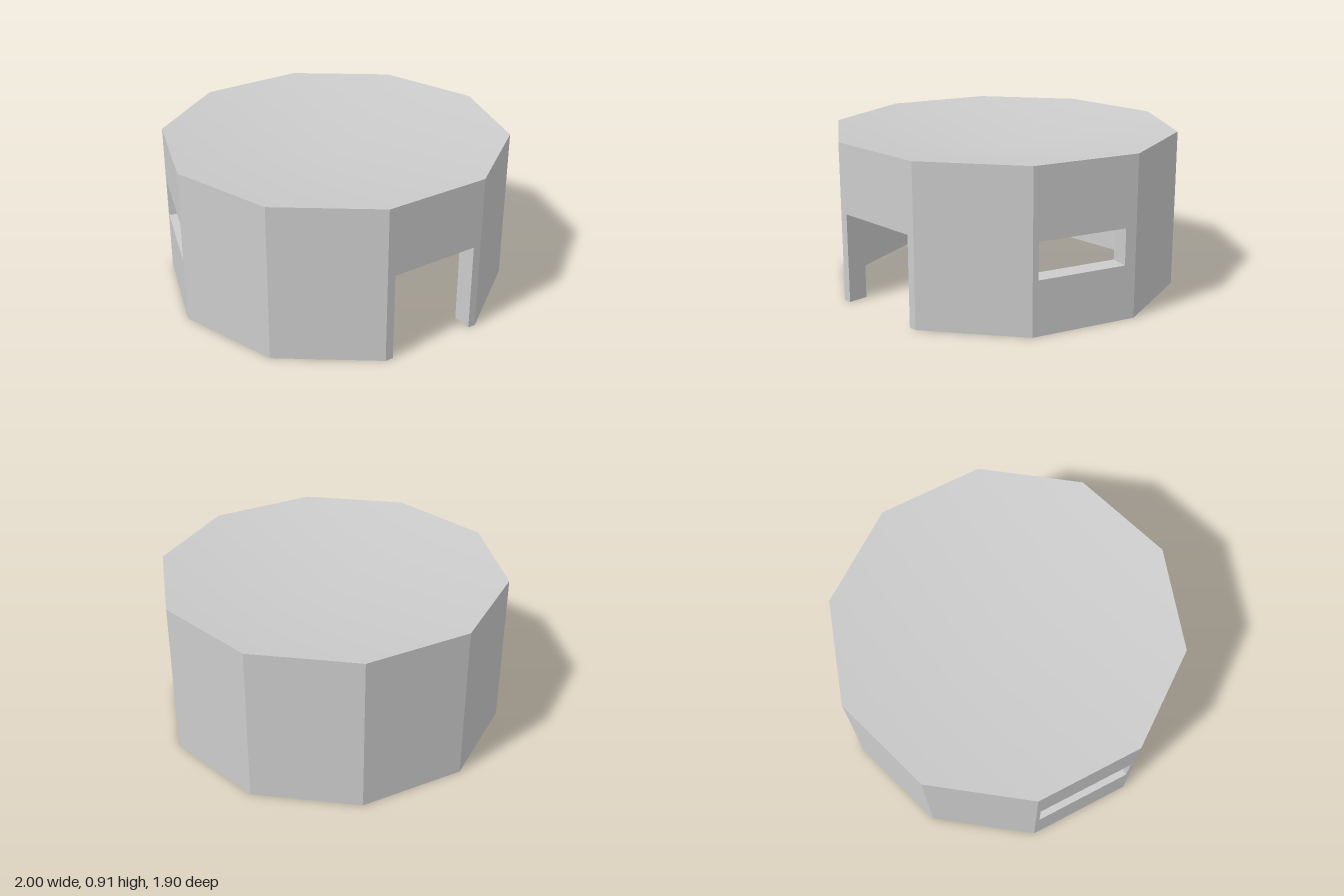
import * as THREE from 'three';
import { mergeVertices } from 'three/addons/utils/BufferGeometryUtils.js';

const SIDES = 10, RADIUS = 1, HEIGHT = 0.91, CEILING = 0.65, WALL = 0.12;
const ROOF_DIP = 0.13;
const ROOM_X = 0.01; // the room sits slightly off centre
const STEP = (Math.PI * 2) / SIDES;
const APOTHEM = RADIUS * Math.cos(STEP / 2);
const INNER_RADIUS = RADIUS * (1 - WALL / APOTHEM);
const OUTER_HALF = RADIUS * Math.sin(STEP / 2);
const INNER_HALF = INNER_RADIUS * Math.sin(STEP / 2);

// Openings by side number: [left, right, bottom, top] on the panel
const DOOR = { 1: [-0.262, 0.262, 0, 0.513] };
const WINDOWS = { 4: [-0.285, 0.285, 0.362, 0.592], 9: [-0.275, 0.244, 0.308, 0.514] };

const points = (list) => list.map(([x, y]) => new THREE.Vector2(x, y));

function panelShape(side) {
  const w = OUTER_HALF;
  const outline = [[-w, 0]];
  if (DOOR[side]) {
    const [l, r, b, t] = DOOR[side];
    outline.push([l, b], [l, t], [r, t], [r, b]);
  }
  outline.push([w, 0], [w, HEIGHT], [-w, HEIGHT]);
  const shape = new THREE.Shape(points(outline));
  if (WINDOWS[side]) {
    const [l, r, b, t] = WINDOWS[side];
    shape.holes.push(new THREE.Path(points([[l, b], [l, t], [r, t], [r, b]])));
  }
  return shape;
}

// Faces buried in the joints to the next panels and to the roof
function isJoint([a, b, c]) {
  const all = (test) => test(a) && test(b) && test(c);
  return all((v) => v.x > OUTER_HALF - 1e-4) || all((v) => v.x < 1e-4 - OUTER_HALF) ||
    all((v) => v.y > HEIGHT - 1e-4);
}

// Wall panel with mitred ends; its inner face stops at the ceiling
function panelGeometry(side, angle) {
  const depth = WALL - ROOM_X * Math.cos(angle);
  const middle = ROOM_X * Math.sin(angle);
  const solid = new THREE.ExtrudeGeometry(panelShape(side), { depth, bevelEnabled: false });
  const p = solid.attributes.position;
  const kept = [];
  for (let i = 0; i < p.count; i += 3) {
    const triangle = [0, 1, 2].map((k) => new THREE.Vector3().fromBufferAttribute(p, i + k));
    if (!isJoint(triangle)) kept.push(...triangle);
  }
  for (const v of kept) {
    if (v.z > depth / 2) continue;
    v.x = THREE.MathUtils.clamp(v.x, middle - INNER_HALF, middle + INNER_HALF);
    v.y = Math.min(v.y, CEILING);
  }
  const geometry = new THREE.BufferGeometry().setFromPoints(kept);
  geometry.translate(0, 0, APOTHEM - depth);
  geometry.computeVertexNormals();
  return geometry;
}

// Decagon whose centre is sunk, shaded smoothly
function dishGeometry() {
  const disc = new THREE.CircleGeometry(RADIUS, SIDES);
  disc.attributes.position.setZ(0, -ROOF_DIP);
  disc.deleteAttribute('uv');
  disc.deleteAttribute('normal');
  const dish = mergeVertices(disc);
  dish.computeVertexNormals();
  return dish;
}

export function createModel() {
  const group = new THREE.Group();
  group.name = 'bunker';
  const material = new THREE.MeshStandardMaterial({ color: 0xcccccc });

  // Ring of wall panels
  const walls = new THREE.Group();
  walls.name = 'walls';
  for (let side = 0; side < SIDES; side++) {
    const angle = (side + 0.5) * STEP;
    const panel = new THREE.Mesh(panelGeometry(side, angle), material);
    panel.name = DOOR[side] ? 'doorwayWall' : WINDOWS[side] ? 'windowWall' : 'wall';
    panel.rotation.y = Math.PI / 2 - angle;
    walls.add(panel);
  }
  group.add(walls);

  // Dished roof above and flat ceiling of the room below it
  const roof = new THREE.Mesh(dishGeometry(), material);
  roof.name = 'roof';
  roof.rotation.x = -Math.PI / 2;
  roof.position.y = HEIGHT;
  const ceiling = new THREE.Mesh(new THREE.CircleGeometry(INNER_RADIUS, SIDES), material);
  ceiling.name = 'ceiling';
  ceiling.rotation.x = Math.PI / 2;
  ceiling.position.set(ROOM_X, CEILING, 0);
  group.add(roof, ceiling);

  return group;
}
